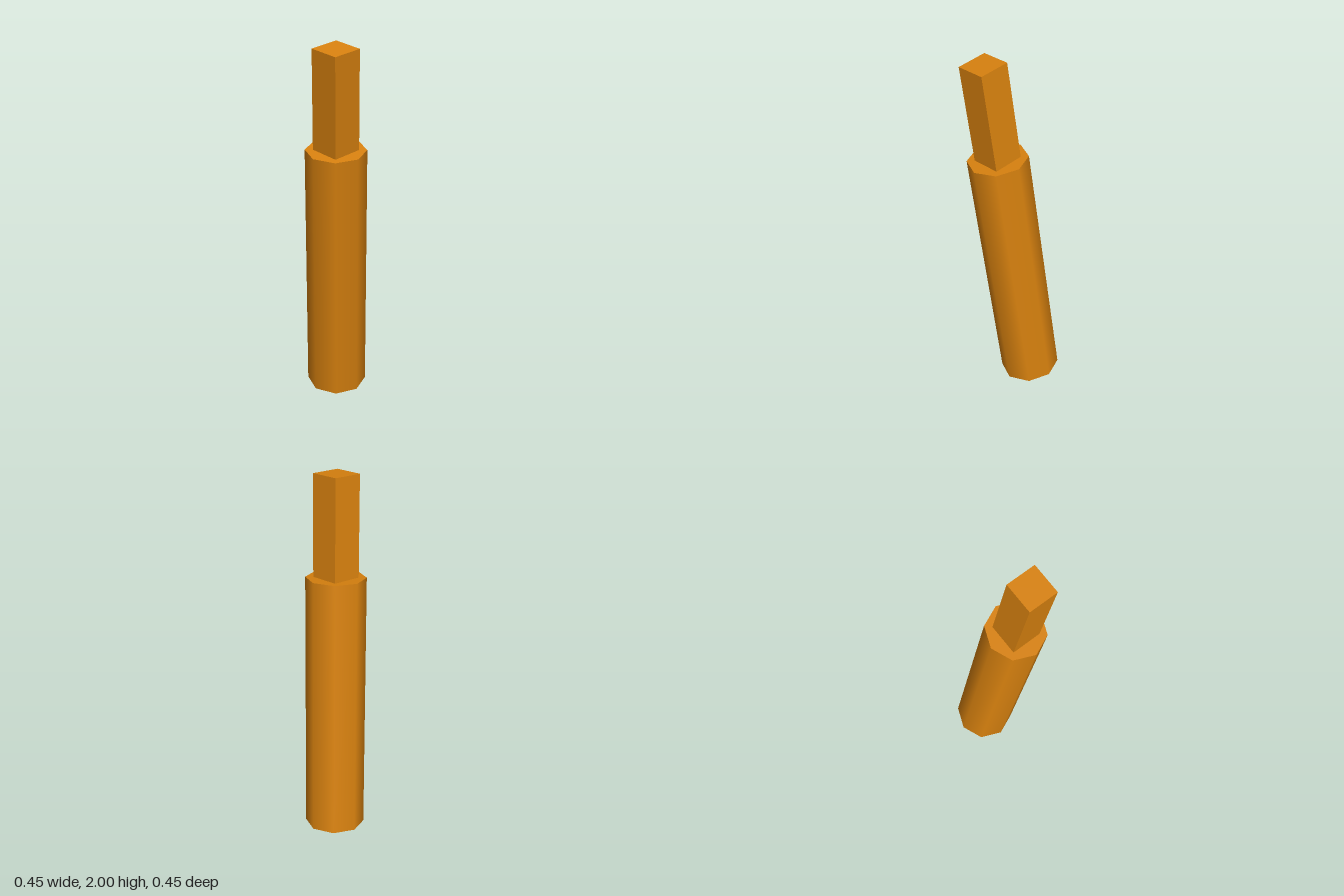
import * as THREE from 'three';

export function createModel() {
  const model = new THREE.Group();
  const material = new THREE.MeshStandardMaterial({ color: 0xd9820f, side: THREE.DoubleSide });
  const radius = 0.162, sides = 8, sleeveLength = 1.43, shankLength = 0.55, shankWidth = 0.169;
  const tilt = THREE.MathUtils.degToRad(5);

  // Everything shares one leaning axis, starting at the foot of the sleeve
  const stick = new THREE.Group();
  stick.name = 'leaningStick';
  stick.position.set(0.062, 0.02, -0.062);
  stick.rotation.set(tilt, 0, tilt);
  model.add(stick);

  const add = (name, geometry, y) => {
    const mesh = new THREE.Mesh(geometry, material);
    mesh.name = name;
    mesh.position.y = y;
    stick.add(mesh);
  };

  // Smooth eight-sided sleeve, open at the bottom and closed on top
  add('sleeve', new THREE.CylinderGeometry(radius, radius, sleeveLength, sides, 1, true), sleeveLength / 2);
  add('sleeveCap', new THREE.CircleGeometry(radius, sides).rotateX(-Math.PI / 2), sleeveLength);

  // Square shank standing on the cap
  add('shank', new THREE.BoxGeometry(shankWidth, shankLength, shankWidth), sleeveLength + shankLength / 2);

  return model;
}
